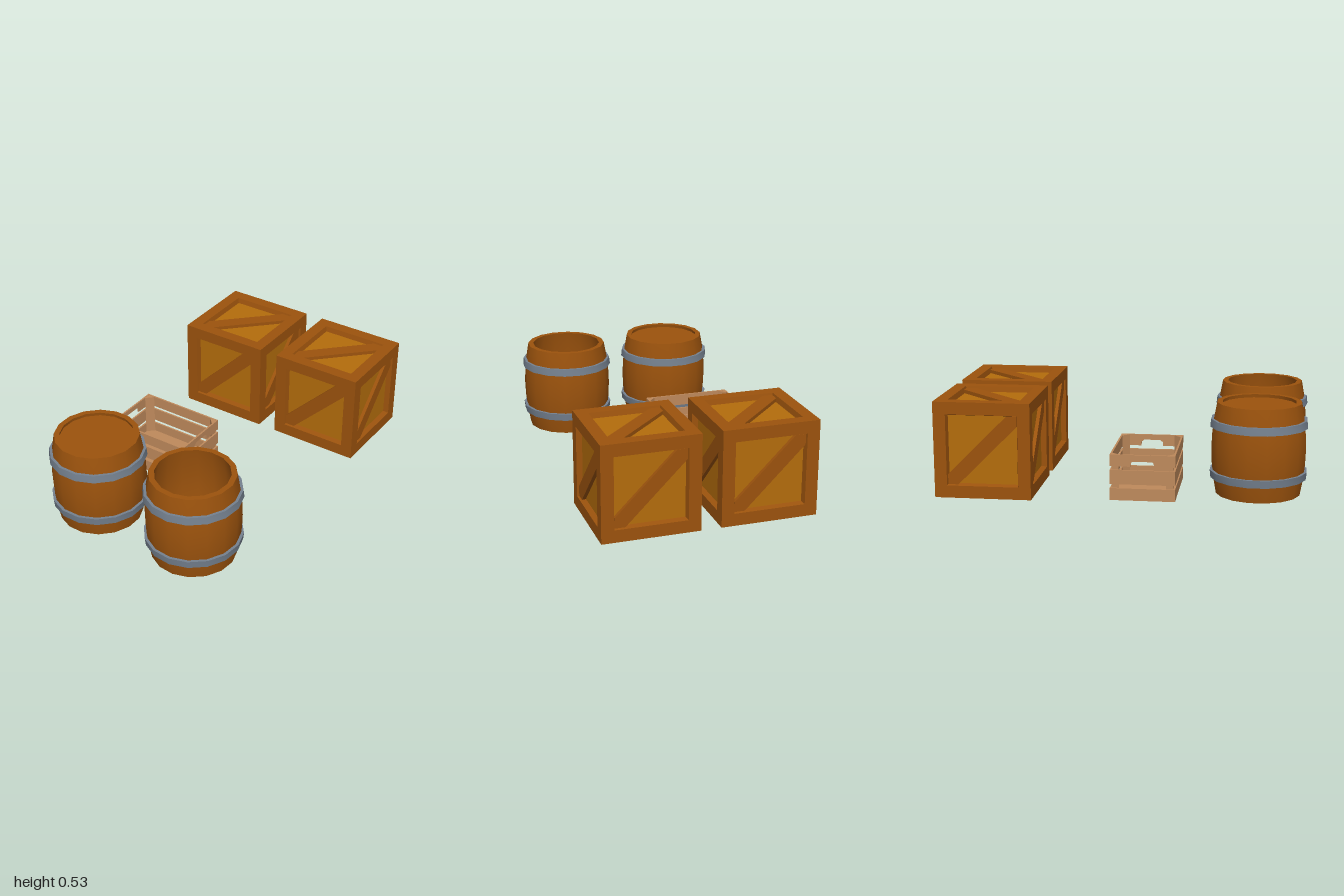
import * as THREE from 'three';
import { toCreasedNormals } from 'three/addons/utils/BufferGeometryUtils.js';

const mat = (name, color, side = THREE.FrontSide) => {
  const m = new THREE.MeshStandardMaterial({ color, side });
  m.name = name;
  return m;
};

export function createModel() {
  const wood = mat('brown wood', 0x9c530d);
  const panelWood = mat('golden wood', 0xb46d0c);
  const paleWood = mat('pale wood', 0xbf8a5c);
  const iron = mat('grey iron', 0x75818f);

  const root = new THREE.Group();
  root.name = 'barrelsAndCrates';

  const add = (parent, name, geo, material, x = 0, y = 0, z = 0) => {
    const m = new THREE.Mesh(geo, material);
    m.name = name;
    m.position.set(x, y, z);
    parent.add(m);
    return m;
  };
  const group = (name, x, y, z, parent = root) => {
    const g = new THREE.Group();
    g.name = name;
    g.position.set(x, y, z);
    parent.add(g);
    return g;
  };
  const points = list => list.map(([x, y]) => new THREE.Vector2(x, y));

  // ---- Large crates: six equal faces with frame, sunken panel and diagonal brace
  const H = 0.264, IN = 0.196, PANEL = 0.188, DEPTH = 0.03;
  const R2 = Math.SQRT2;
  const frameGeo = new THREE.LatheGeometry(
    points([[H * R2, 0], [IN * R2, 0], [PANEL * R2, -DEPTH]]), 4, Math.PI / 4).toNonIndexed();
  frameGeo.computeVertexNormals();
  frameGeo.rotateX(Math.PI / 2);
  const panelGeo = new THREE.PlaneGeometry(PANEL * 2, PANEL * 2);
  const a = 0.191, w = 0.056;
  const braceGeo = new THREE.ExtrudeGeometry(new THREE.Shape(points([
    [-a, -a], [-a + w, -a], [a, a - w], [a, a], [a - w, a], [-a, -a + w],
  ])), { depth: 0.02, bevelEnabled: false });

  const quarter = Math.PI / 2;
  const turns = [[0, 0], [0, quarter], [0, 2 * quarter], [0, -quarter], [-quarter, 0], [quarter, 0]];
  for (const [name, x] of [['rightCrate', -0.319], ['leftCrate', 0.319]]) {
    const crate = group(name, x, H, -0.736);
    for (const [rx, ry] of turns) {
      const face = group('crateFace', 0, 0, 0, crate);
      face.rotation.set(rx, ry, 0);
      add(face, 'frame', frameGeo, wood, 0, 0, H);
      add(face, 'panel', panelGeo, panelWood, 0, 0, H - DEPTH);
      add(face, 'brace', braceGeo, wood, 0, 0, H - DEPTH);
    }
  }

  // ---- Barrels: hollow bulging shell, two iron hoops, optional lid
  const SIDES = 16;
  const lathe = list => toCreasedNormals(new THREE.LatheGeometry(points(list), SIDES), 0.6);
  const shellGeo = lathe([
    [0.2, 0.016], [0.23, 0.016], [0.246, 0.105], [0.255, 0.19], [0.258, 0.268],
    [0.255, 0.346], [0.246, 0.431], [0.23, 0.52], [0.2, 0.52],
    [0.217, 0.42], [0.226, 0.268], [0.217, 0.116], [0.2, 0.016],
  ]);
  // Hoop section leans with the staves; s flips it for the lower hoop
  const hoop = s => {
    const section = [[0.24, -0.021], [0.266, -0.021], [0.261, 0.021], [0.24, 0.021], [0.24, -0.021]];
    const list = section.map(([r, y]) => [r, y * s]);
    return lathe(s > 0 ? list : list.reverse());
  };
  const upperHoop = hoop(1), lowerHoop = hoop(-1);
  const barrel = (name, x, turn, lidded) => {
    const b = group(name, x, 0, 0.733);
    b.rotation.y = turn;
    add(b, 'shell', shellGeo, wood);
    add(b, 'upperHoop', upperHoop, iron, 0, 0.408, 0);
    add(b, 'lowerHoop', lowerHoop, iron, 0, 0.126, 0);
    if (lidded) add(b, 'lid', new THREE.CylinderGeometry(0.204, 0.204, 0.02, SIDES), wood, 0, 0.492, 0);
  };
  barrel('closedBarrel', -0.32, Math.PI / SIDES, true);
  barrel('openBarrel', 0.306, 0.1, false);

  // ---- Small slatted carrying crate
  const LX = 0.5, LZ = 0.35, T = 0.01, Y0 = 0.014;
  const tray = group('slattedCrate', -0.32, 0, 0.128);
  add(tray, 'floor', new THREE.BoxGeometry(LX - 2 * T, T, LZ - 2 * T), paleWood, 0, Y0 + T / 2, 0);

  const slats = [[Y0, 0.08], [0.102, 0.18], [0.2, 0.264]];
  // End slat with a hand hold cut into its lower edge
  const half = LZ / 2;
  const handleGeo = new THREE.ExtrudeGeometry(new THREE.Shape(points([
    [-half, 0.2], [-0.062, 0.2], [-0.06, 0.222], [-0.045, 0.234], [0.045, 0.234],
    [0.06, 0.222], [0.062, 0.2], [half, 0.2], [half, 0.264], [-half, 0.264],
  ])), { depth: T, bevelEnabled: false });
  handleGeo.translate(0, 0, -T / 2).rotateY(quarter);

  for (const s of [-1, 1]) {
    slats.forEach(([lo, hi], i) => {
      const mid = (lo + hi) / 2;
      add(tray, 'sideSlat', new THREE.BoxGeometry(LX - 2 * T, hi - lo, T), paleWood,
        0, mid, s * (LZ - T) / 2);
      const endGeo = i === 2 ? handleGeo : new THREE.BoxGeometry(T, hi - lo, LZ);
      add(tray, i === 2 ? 'handleSlat' : 'endSlat', endGeo, paleWood,
        s * (LX - T) / 2, i === 2 ? 0 : mid, 0);
    });
  }

  // Triangular corner posts inside the slats
  const c = 0.038;
  const postGeo = new THREE.ExtrudeGeometry(
    new THREE.Shape(points([[0, 0], [c, 0], [0, c]])), { depth: 0.249, bevelEnabled: false });
  postGeo.rotateX(-quarter);
  const px = LX / 2 - T, pz = LZ / 2 - T;
  [[-px, pz], [px, pz], [px, -pz], [-px, -pz]].forEach(([x, z], i) => {
    add(tray, 'cornerPost', postGeo, paleWood, x, Y0, z).rotation.y = i * quarter;
  });

  return root;
}
